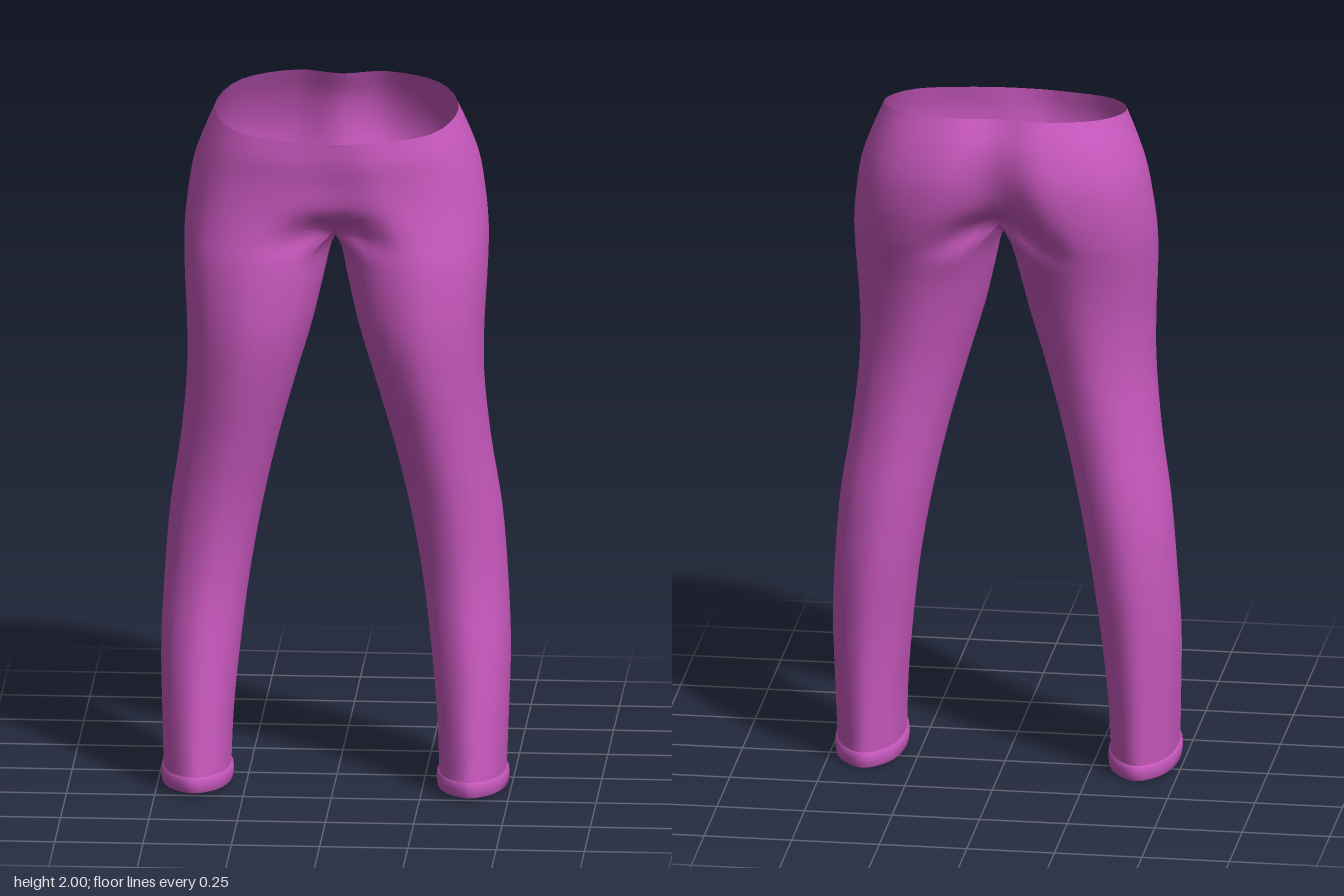
import * as THREE from 'three';
import { mergeVertices } from 'three/addons/utils/BufferGeometryUtils.js';

// Leg sections: y, inner x, outer x, front z, back z
const LEG = [
  [0.05, 0.295, 0.485, 0.272, -0.12],
  [0.2, 0.289, 0.49, 0.25, -0.125],
  [0.4, 0.27, 0.495, 0.218, -0.135],
  [0.6, 0.245, 0.486, 0.19, -0.15],
  [0.8, 0.21, 0.47, 0.195, -0.153],
  [1.0, 0.165, 0.44, 0.225, -0.145],
  [1.2, 0.11, 0.421, 0.265, -0.147],
  [1.35, 0.066, 0.421, 0.285, -0.165],
  [1.48, 0.035, 0.428, 0.282, -0.193],
  [1.57, 0.014, 0.431, 0.272, -0.222],
];
// Hip sections: y, slope of y along z, outer x, front z, back z, seam front z, seam back z, peak x
const HIP = [
  [1.63, 0, 0.43, 0.262, -0.245, 0.17, -0.13, 0.2],
  [1.72, -0.02, 0.421, 0.255, -0.275, 0.235, -0.205, 0.17],
  [1.81, -0.05, 0.405, 0.254, -0.286, 0.25, -0.24, 0.145],
  [1.89, -0.1, 0.377, 0.257, -0.268, 0.262, -0.243, 0.135],
  [1.966, -0.155, 0.345, 0.25, -0.232, 0.266, -0.211, 0.125],
];
const V = (x, y, z) => new THREE.Vector3(x, y, z);
const OUT = 24, INN = 12, LOOP = OUT + INN, SUB = 4;

// Eight guide points, from front inside round the outer side to the back
function guides(y, k, xi, xo, zf, zb, xm, sx, sf, sb) {
  const zm = (zf + zb) / 2, d = 0.71;
  const at = (x, z) => V(x, y + k * z, z);
  const zF = zm + d * (zf - zm), zB = zm + d * (zb - zm), xs = xm + d * (xo - xm);
  return [at(sx, sf ?? zF), at(xm, zf), at(xs, zF), at(xo, zm),
    at(xs, zB), at(xm, zb), at(sx, sb ?? zB), at(xi, zm)];
}

function legRing([y, xi, xo, zf, zb]) {
  const cx = (xi + xo) / 2, rx = (xo - xi) / 2;
  const p = guides(y, y < 0.1 ? 0.03 : 0, xi, xo, zf, zb, cx, cx - 0.71 * rx);
  const curve = new THREE.CatmullRomCurve3(p, true);
  return Array.from({ length: LOOP }, (_, j) =>
    curve.getPoint(j <= OUT ? (j / OUT) * 0.75 : 0.75 + ((j - OUT) / INN) * 0.25));
}

function hipRing([y, k, xo, zf, zb, sf, sb, xm], i) {
  const p = guides(y, k, 0, xo, zf, zb, xm, 0, sf, sb);
  if (i === 0) { p[0].y = 1.645; p[6].y = 1.66; p[7].y = 1.598; }
  const flip = (v) => V(-v.x, v.y, v.z);
  const curve = new THREE.CatmullRomCurve3([flip(p[1]), ...p.slice(0, 7), flip(p[5])]);
  const ring = Array.from({ length: OUT + 1 }, (_, j) => curve.getPoint((1 + (6 * j) / OUT) / 8));
  ring[0].x = ring[OUT].x = 0;
  // The lowest hip section also carries the crotch seam
  if (i === 0) {
    const seam = new THREE.CatmullRomCurve3([p[6], p[7], p[0]]);
    for (let j = 1; j < INN; j++) ring.push(seam.getPoint(j / INN));
  }
  return ring;
}

// Smooth the rings upwards, column by column
function refine(rings) {
  const out = Array.from({ length: (rings.length - 1) * SUB + 1 }, () => []);
  for (let j = 0; j < LOOP; j++) {
    const col = rings.filter((r) => r[j]).map((r) => r[j]);
    const curve = new THREE.CatmullRomCurve3(col);
    const n = (col.length - 1) * SUB;
    for (let i = 0; i <= n; i++) {
      const v = curve.getPoint(i / n);
      v.x = Math.max(v.x, 0);
      out[i].push(v);
    }
  }
  return out;
}

// Skin rings on both sides of the body as one welded surface
function skin(rings) {
  const pos = [];
  const tri = (a, b, c) => {
    for (const v of [a, b, c]) pos.push(v.x, v.y, v.z);
    for (const v of [a, c, b]) pos.push(-v.x, v.y, v.z);
  };
  for (let i = 0; i < rings.length - 1; i++) {
    const a = rings[i], b = rings[i + 1];
    const closed = b.length === LOOP;
    for (let j = 0; j < (closed ? LOOP : OUT); j++) {
      const n = (j + 1) % LOOP;
      tri(a[j], a[n], b[n]);
      tri(a[j], b[n], b[j]);
    }
  }
  const g = new THREE.BufferGeometry();
  g.setAttribute('position', new THREE.Float32BufferAttribute(pos, 3));
  const welded = mergeVertices(g, 1e-4);
  welded.computeVertexNormals();
  return welded;
}

export function createModel() {
  const group = new THREE.Group();
  group.name = 'trousers';
  const fabric = new THREE.MeshStandardMaterial({ color: 0xc858be, side: THREE.DoubleSide });
  fabric.name = 'orchid fabric';

  // Waist, seat and both legs
  const rings = refine([...LEG.map(legRing), ...HIP.map(hipRing)]);
  const body = new THREE.Mesh(skin(rings), fabric);
  body.name = 'waistAndLegs';
  group.add(body);

  // Rolled hems with a short lip turned inside: [height, outward offset]
  const base = rings[0];
  const mid = base.reduce((s, v) => s.add(v), V(0, 0, 0)).divideScalar(base.length);
  const hemRings = [[0.02, -0.014], [-0.03, -0.01], [-0.046, -0.002], [-0.042, 0.005],
    [-0.022, 0.008], [-0.006, 0.006], [0, 0]].map(([dy, off]) => base.map((v) => {
    const dir = V(v.x - mid.x, 0, v.z - mid.z).normalize();
    return V(v.x + dir.x * off, v.y + dy, v.z + dir.z * off);
  }));
  const hems = new THREE.Mesh(skin(hemRings), fabric);
  hems.name = 'ankleHems';
  group.add(hems);
  return group;
}
